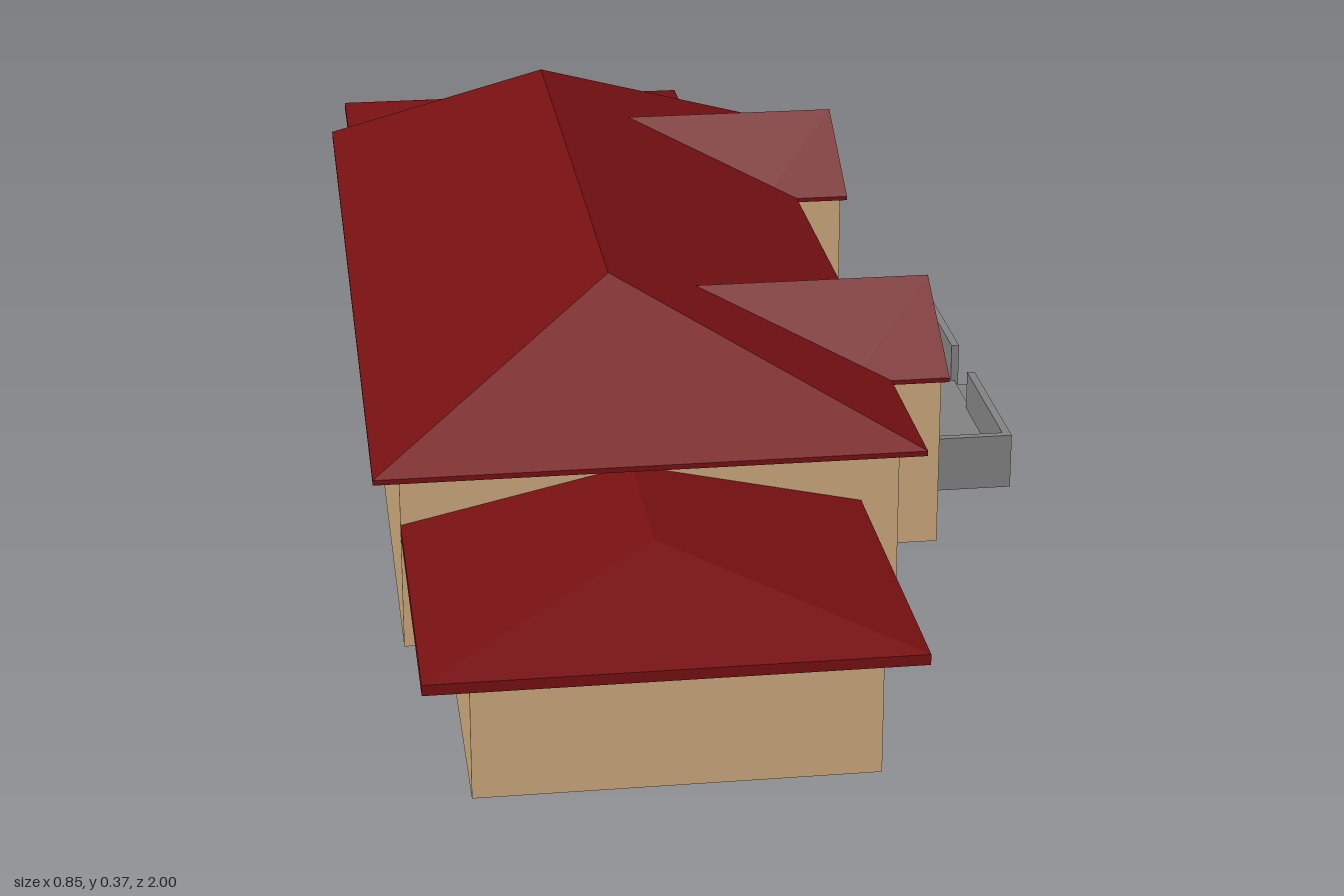
import * as THREE from 'three';

const mat = (name, color, side = THREE.FrontSide) => {
  const m = new THREE.MeshStandardMaterial({ color, side });
  m.name = name;
  return m;
};

export function createModel() {
  const group = new THREE.Group();
  const wallMat = mat('tan wall', 0xcdaa7d, THREE.DoubleSide);
  const roofMat = mat('dark red roof', 0x761012);
  const greyMat = mat('grey', 0x828282);
  const doorMat = mat('brown garage door', 0xaf8351);

  const add = (name, geometry, material) => {
    const mesh = new THREE.Mesh(geometry, material);
    mesh.name = name;
    group.add(mesh);
    return mesh;
  };

  // Box given by its limits on each axis
  const box = (name, material, x0, x1, y0, y1, z0, z1) => {
    const g = new THREE.BoxGeometry(x1 - x0, y1 - y0, z1 - z0);
    g.translate((x0 + x1) / 2, (y0 + y1) / 2, (z0 + z1) / 2);
    return add(name, g, material);
  };

  // Flat-shaded geometry from convex polygons
  const polygons = (faces) => {
    const pos = [];
    for (const f of faces)
      for (let i = 1; i < f.length - 1; i++) pos.push(...f[0], ...f[i], ...f[i + 1]);
    const g = new THREE.BufferGeometry();
    g.setAttribute('position', new THREE.Float32BufferAttribute(pos, 3));
    g.computeVertexNormals();
    return g;
  };

  // Thin upright walls following a plan path of [x, z] points
  const walls = (path, height) =>
    polygons(path.slice(1).map(([bx, bz], i) => {
      const [ax, az] = path[i];
      return [[ax, 0, az], [bx, 0, bz], [bx, height, bz], [ax, height, az]];
    }));

  // Hipped roof with a fascia band, flat underside and a ridge along z
  const hipRoof = ({ x0, x1, z0, z1, base, eave, ridgeX, ridgeY, r0, r1 }) => {
    const c = [[x0, z0], [x0, z1], [x1, z1], [x1, z0]];
    const low = c.map(([x, z]) => [x, base, z]);
    const top = c.map(([x, z]) => [x, eave, z]);
    const a = [ridgeX, ridgeY, r0], b = [ridgeX, ridgeY, r1];
    const faces = [
      [top[0], top[1], b, a],
      [top[1], top[2], b],
      [top[2], top[3], a, b],
      [top[3], top[0], a],
      [...low].reverse(),
    ];
    for (let i = 0; i < 4; i++) {
      const j = (i + 1) % 4;
      faces.push([low[i], low[j], top[j], top[i]]);
    }
    return polygons(faces);
  };

  // Main house: front with two projecting bays, and the back
  add('frontWall', walls([
    [0.17, 0.61], [0.17, 0.41], [0.26, 0.41], [0.26, 0.265], [0.17, 0.265],
    [0.17, -0.265], [0.26, -0.265], [0.26, -0.41], [0.17, -0.41], [0.17, -0.61],
  ], 0.213), wallMat);
  add('backWall', walls([[-0.395, -0.61], [-0.395, 0.61]], 0.213), wallMat);
  add('mainRoof', hipRoof({
    x0: -0.425, x1: 0.197, z0: -0.637, z1: 0.637, base: 0.212, eave: 0.218,
    ridgeX: -0.138, ridgeY: 0.367, r0: -0.415, r1: 0.415,
  }), roofMat);

  // End wall, open where the garage wing joins it
  const endShape = new THREE.Shape([
    [-0.395, 0], [-0.345, 0], [-0.345, 0.14], [0.085, 0.14],
    [0.085, 0], [0.17, 0], [0.17, 0.213], [-0.395, 0.213],
  ].map(([x, y]) => new THREE.Vector2(x, y)));

  for (const s of [1, -1]) {
    const span = (a, b) => (s > 0 ? [a, b] : [-b, -a]);
    const side = s > 0 ? 'left' : 'right';
    add(side + 'EndWall', new THREE.ShapeGeometry(endShape).translate(0, 0, s * 0.61), wallMat);

    // Garage wing
    add(side + 'WingWalls', walls([
      [0.085, s * 0.61], [0.085, s * 0.968], [-0.345, s * 0.968], [-0.345, s * 0.61],
    ], 0.14), wallMat);
    const [z0, z1] = span(0.61, 1);
    const [r0, r1] = span(0.61, 0.81);
    add(side + 'WingRoof', hipRoof({
      x0: -0.395, x1: 0.127, z0, z1, base: 0.138, eave: 0.15,
      ridgeX: -0.135, ridgeY: 0.208, r0, r1,
    }), roofMat);
    box(side + 'GarageDoor', doorMat, 0.083, 0.088, 0, 0.12, ...span(0.645, 0.933));

    // Small roof over the bay, running back into the main roof
    const bayRoof = hipRoof({
      x0: -0.087, x1: 0.087, z0: 0.15, z1: 0.267, base: 0.2125, eave: 0.218,
      ridgeX: 0, ridgeY: 0.317, r0: -0.025, r1: 0.256,
    }).rotateY(Math.PI / 2).translate(0, 0, s * 0.337);
    add(side + 'BayRoof', bayRoof, roofMat);

    // Windows
    box(side + 'OuterWindow', greyMat, 0.168, 0.174, 0.06, 0.16, ...span(0.458, 0.57));
    box(side + 'InnerWindow', greyMat, 0.168, 0.174, 0.06, 0.16, ...span(0.095, 0.205));

    // Porch parapet
    box(side + 'PorchFront', greyMat, 0.375, 0.385, 0, 0.07, ...span(0.048, 0.263));
    box(side + 'PorchSide', greyMat, 0.26, 0.375, 0, 0.07, ...span(0.253, 0.263));
  }

  // Front door, porch floor and steps
  box('frontDoor', greyMat, 0.168, 0.174, 0.015, 0.155, -0.027, 0.027);
  box('porchFloor', greyMat, 0.17, 0.38, 0, 0.02, -0.262, 0.262);
  box('upperStep', greyMat, 0.38, 0.403, 0, 0.014, -0.048, 0.048);
  box('lowerStep', greyMat, 0.403, 0.421, 0, 0.007, -0.048, 0.048);

  return group;
}
